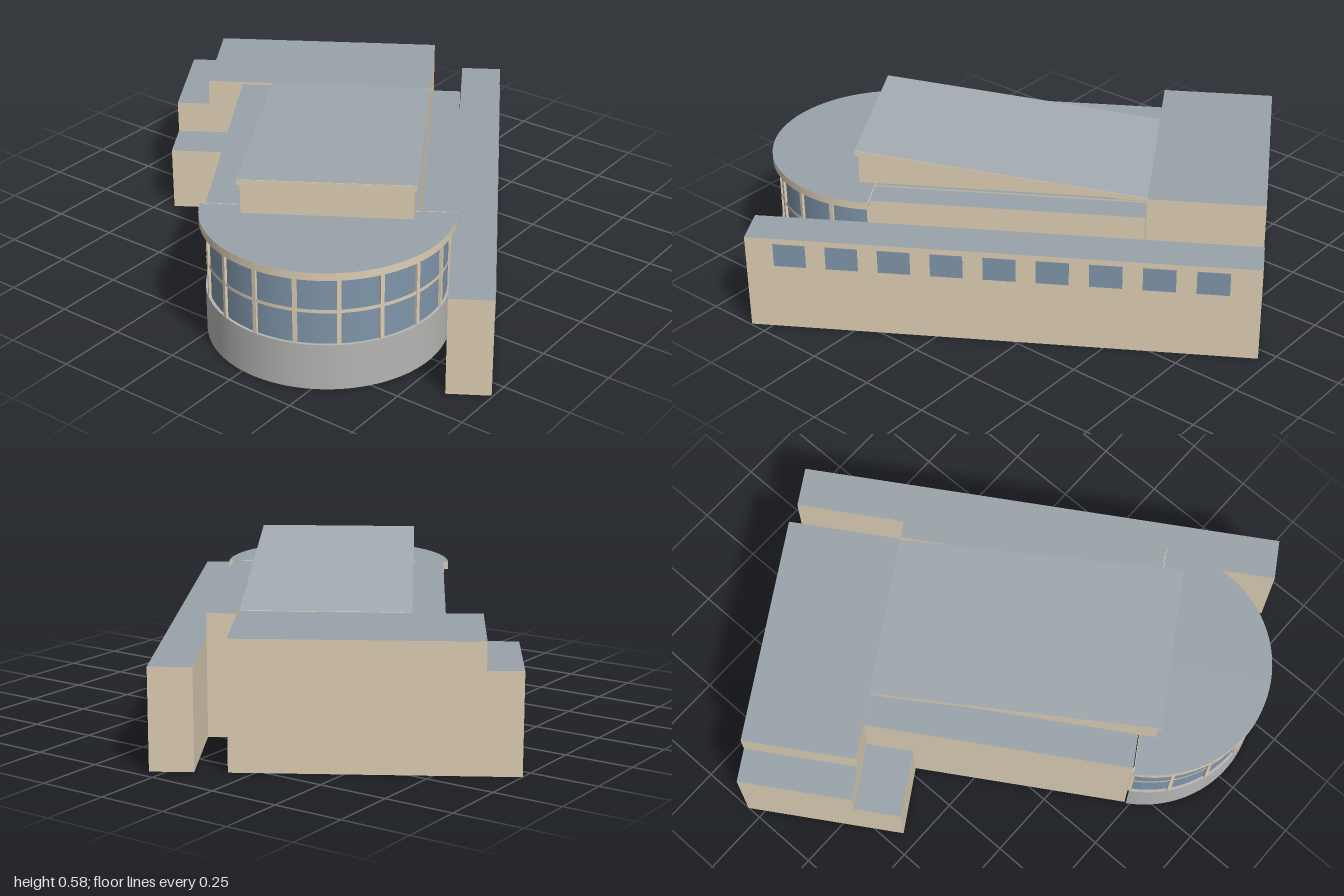
import * as THREE from 'three';

const mat = (color) => new THREE.MeshStandardMaterial({ color, side: THREE.DoubleSide });

export function createModel() {
  const wall = mat(0xddceb4), roof = mat(0x9aa3aa), highRoof = mat(0xa3abb1);
  const glass = mat(0x7f95aa), base = mat(0xb5b5b3);
  const model = new THREE.Group();
  // the whole building stands turned on its plot
  const building = new THREE.Group();
  building.name = 'building';
  building.rotation.y = 0.555;
  model.add(building);

  const add = (name, geo, material, x = 0, y = 0, z = 0, parent = building) => {
    const m = new THREE.Mesh(geo, material);
    m.name = name;
    m.position.set(x, y, z);
    parent.add(m);
    return m;
  };

  // raise vertices above minY steadily from back to front
  const slope = (geo, rise, depth, minY = -Infinity) => {
    const p = geo.attributes.position;
    for (let i = 0; i < p.count; i++) {
      if (p.getY(i) > minY) p.setY(i, p.getY(i) + rise * (p.getZ(i) / depth + 0.5));
    }
    geo.computeVertexNormals();
    return geo;
  };

  // four walls and a roof, open below; rise slopes the roof
  const block = (name, x0, x1, z0, z1, y0, y1, rise = 0) => {
    const w = x1 - x0, h = y1 - y0, d = z1 - z0;
    const g = new THREE.Group();
    g.name = name;
    g.position.set((x0 + x1) / 2, 0, (z0 + z1) / 2);
    building.add(g);
    const walls = new THREE.BoxGeometry(w, h, d);
    const idx = Array.from(walls.index.array);
    walls.setIndex([...idx.slice(0, 12), ...idx.slice(24)]);
    add(name + 'Walls', slope(walls, rise, d, 0), wall, 0, (y0 + y1) / 2, 0, g);
    const top = new THREE.PlaneGeometry(w, d).rotateX(-Math.PI / 2);
    add(name + 'Roof', slope(top, rise, d), roof, 0, y1, 0, g);
  };

  block('sideWing', 0.396, 0.547, -0.787, 1.006, 0, 0.36);
  block('backBlock', -0.566, 0.284, -0.786, -0.372, 0, 0.457);
  block('lowBlock', -0.69, -0.566, -0.786, -0.372, 0, 0.36);
  block('porchBlock', -0.69, -0.442, -0.372, -0.2, 0, 0.24);
  block('hall', -0.436, 0.284, -0.372, 0.59, 0, 0.448);
  block('sideAisle', 0.294, 0.396, -0.372, 0.59, 0, 0.448);

  // raised hall with a sloping roof slab
  block('raisedHall', -0.31, 0.27, -0.372, 0.652, 0.44, 0.442, 0.118);
  const slab = [0.6, 0.02, 1.034];
  add('roofSlab', slope(new THREE.BoxGeometry(...slab), 0.12, slab[2]), wall, -0.02, 0.448, 0.145);
  const sheet = new THREE.PlaneGeometry(slab[0], slab[2]).rotateX(-Math.PI / 2);
  add('slabTop', slope(sheet, 0.12, slab[2]), highRoof, -0.02, 0.459, 0.145);

  // row of windows along the wing
  for (let i = 0; i < 9; i++) {
    add('wingWindow', new THREE.BoxGeometry(0.004, 0.088, 0.114), glass, 0.547, 0.295, 0.85 - i * 0.184);
  }

  // half-round glazed front
  const rotunda = new THREE.Group();
  rotunda.name = 'rotunda';
  rotunda.position.set(-0.022, 0, 0.595);
  building.add(rotunda);
  const band = (name, r, y0, y1, material) => add(name,
    new THREE.CylinderGeometry(r, r, y1 - y0, 64, 1, true, -Math.PI / 2, Math.PI),
    material, 0, (y0 + y1) / 2, 0, rotunda);
  const ring = (name, inner, outer, y, material) => add(name,
    new THREE.RingGeometry(inner, outer, 64, 1, Math.PI, Math.PI).rotateX(-Math.PI / 2),
    material, 0, y, 0, rotunda);

  band('rotundaBase', 0.418, 0, 0.17, base);
  ring('sill', 0.408, 0.418, 0.17, base);
  band('curvedGlass', 0.408, 0.17, 0.42, glass);
  band('middleRail', 0.414, 0.288, 0.301, wall);
  band('roofRim', 0.434, 0.42, 0.448, wall);
  ring('rimUnderside', 0.4, 0.434, 0.42, wall);
  add('rotundaRoof', new THREE.CircleGeometry(0.434, 64, Math.PI, Math.PI).rotateX(-Math.PI / 2),
    roof, 0, 0.448, 0, rotunda);
  add('rimBack', new THREE.BoxGeometry(0.868, 0.027, 0.004), wall, 0, 0.434, 0, rotunda);

  // mullions every 20 degrees
  for (let i = 0; i <= 9; i++) {
    const a = -Math.PI / 2 + i * Math.PI / 9;
    add('mullion', new THREE.BoxGeometry(0.014, 0.25, 0.014), wall,
      Math.sin(a) * 0.41, 0.295, Math.cos(a) * 0.41, rotunda).rotation.y = a;
  }
  return model;
}
